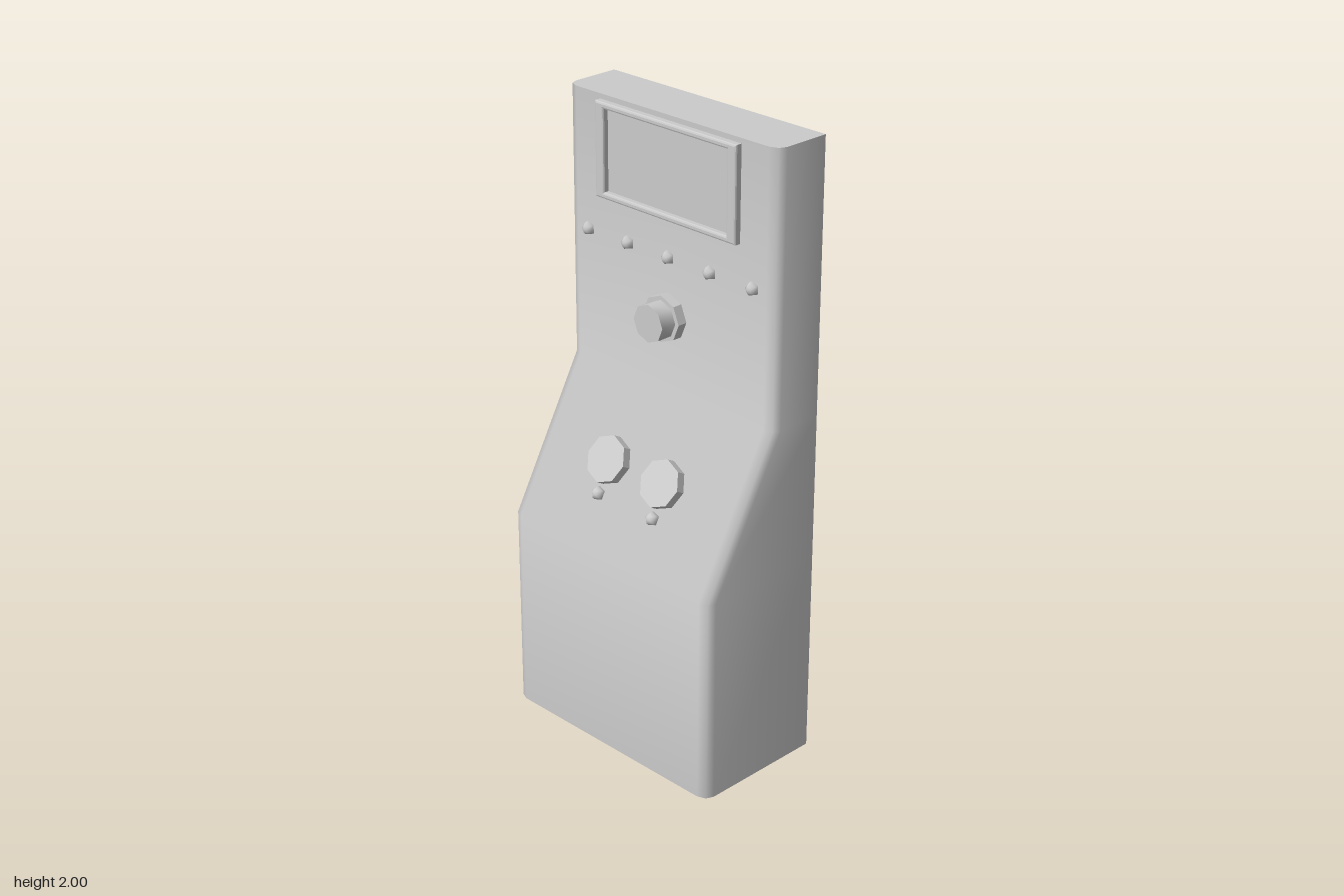
import * as THREE from 'three';
import { toCreasedNormals } from 'three/addons/utils/BufferGeometryUtils.js';

const BACK = -0.225, UPPER = -0.035, LOWER = 0.225;
const BEND_LOW = 0.67, BEND_HIGH = 1.14;
const SLOPE = (LOWER - UPPER) / (BEND_HIGH - BEND_LOW);
const TILT = Math.atan(SLOPE);

// Depth of the front panel at height y
function panelZ(y) {
  if (y < BEND_LOW) return LOWER;
  if (y > BEND_HIGH) return UPPER;
  return LOWER - (y - BEND_LOW) * SLOPE;
}

// Open-backed, open-bottomed shell swept up through U-shaped sections
function shellGeometry() {
  const section = (y) => {
    const z = panelZ(y);
    const half = [[0.425, BACK], [0.425, z - 0.035], [0.415, z - 0.011], [0.388, z]];
    const left = half.map(([x, d]) => [-x, y, d]);
    return [...left, ...half.map(([x, d]) => [x, y, d]).reverse()];
  };
  const rows = [0, BEND_LOW, BEND_HIGH, 2].map(section);
  const pos = [];
  const tri = (...pts) => pts.forEach((p) => pos.push(...p));
  for (let i = 0; i < rows.length - 1; i++) {
    for (let j = 0; j < rows[i].length - 1; j++) {
      const a = rows[i][j], b = rows[i][j + 1], c = rows[i + 1][j + 1], d = rows[i + 1][j];
      tri(a, b, c);
      tri(a, c, d);
    }
  }
  const top = rows[rows.length - 1];
  for (let j = 1; j < top.length - 1; j++) tri(top[0], top[j], top[j + 1]);
  const g = new THREE.BufferGeometry();
  g.setAttribute('position', new THREE.Float32BufferAttribute(pos, 3));
  return toCreasedNormals(g, 0.9);
}

function rectangle(Type, w, h) {
  return new Type([[-w, -h], [w, -h], [w, h], [-w, h]].map(([x, y]) => new THREE.Vector2(x, y)));
}

export function createModel() {
  const model = new THREE.Group();
  const grey = new THREE.MeshStandardMaterial({ color: 0xcccccc });
  const thin = new THREE.MeshStandardMaterial({ color: 0xcccccc, side: THREE.DoubleSide });
  const flat = new THREE.MeshStandardMaterial({ color: 0xcccccc, flatShading: true });

  const add = (name, geometry, material, x, y, z, parent = model) => {
    const mesh = new THREE.Mesh(geometry, material);
    mesh.name = name;
    mesh.position.set(x, y, z);
    parent.add(mesh);
    return mesh;
  };

  add('housing', shellGeometry(), thin, 0, 0, 0);

  // Bevelled frame around the screen, reaching slightly through the panel
  const bevel = 0.006;
  const outline = rectangle(THREE.Shape, 0.285 - bevel, 0.148 - bevel);
  outline.holes.push(rectangle(THREE.Path, 0.25 + bevel, 0.128 + bevel));
  const frame = new THREE.ExtrudeGeometry(outline, {
    depth: 0.022, bevelEnabled: true, bevelSize: bevel, bevelThickness: bevel, bevelSegments: 2,
  });
  add('screenFrame', frame, grey, 0, 1.836, -0.04);
  add('screen', new THREE.PlaneGeometry(0.51, 0.265), grey, 0, 1.836, UPPER + 0.003);

  // Indicator lamps: a row of five, and one below each button
  const lamp = new THREE.SphereGeometry(0.023, 5, 6).rotateX(Math.PI / 2);
  for (let i = -2; i <= 2; i++) add('indicatorLamp', lamp, grey, i * 0.169, 1.568, UPPER);

  // Eight-sided cylinder pointing forward from z0 to z1
  const octagon = (r, z0, z1) =>
    toCreasedNormals(new THREE.CylinderGeometry(r, r, z1 - z0, 8)
      .rotateX(Math.PI / 2).translate(0, 0, (z0 + z1) / 2), 0.9);

  // Round knob on its collar
  const knob = new THREE.Group();
  knob.name = 'knob';
  knob.position.set(0, 1.383, UPPER);
  model.add(knob);
  add('knobCollar', octagon(0.074, -0.002, 0.032), flat, 0, 0, 0, knob);
  add('knobCap', octagon(0.06, 0.03, 0.085), grey, 0, 0, 0, knob);

  // Two large buttons lying on the sloped panel
  for (const side of [-1, 1]) {
    const button = add('button', octagon(0.076, -0.004, 0.03), flat,
      side * 0.115, 0.911, panelZ(0.911));
    button.rotation.x = -TILT;
    add('buttonLamp', lamp, grey, side * 0.117, 0.818, panelZ(0.818) + 0.003)
      .rotation.x = -TILT;
  }
  return model;
}
